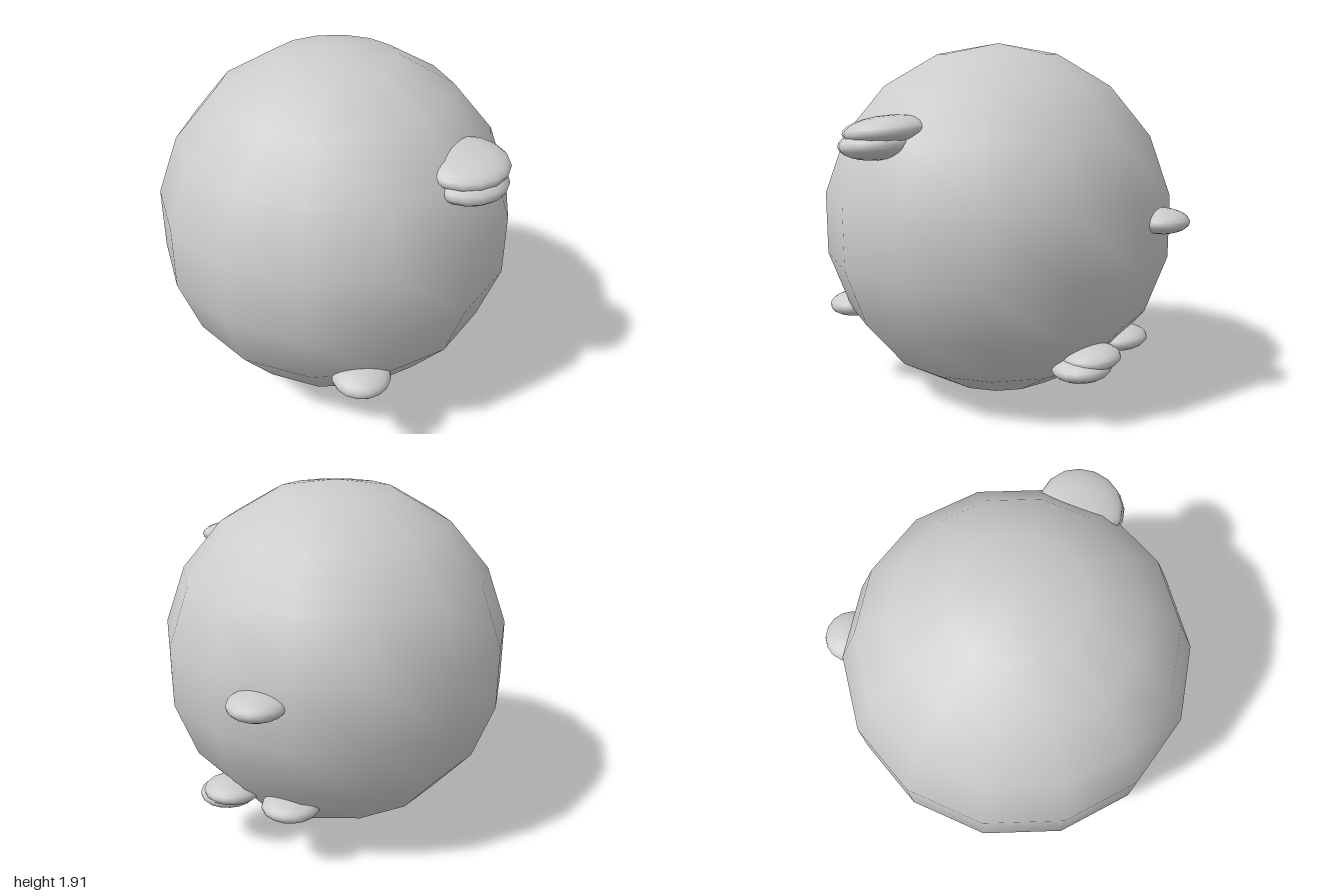
import * as THREE from 'three';

const grey = new THREE.MeshStandardMaterial({ color: 0xcccccc });

// Flattened ball centred at (x, y, z), tilted about the x axis
function pebble(name, [x, y, z], radius, halfHeight, tilt = 0) {
  const mesh = new THREE.Mesh(new THREE.SphereGeometry(1, 16, 12), grey);
  mesh.name = name;
  mesh.scale.set(radius, halfHeight, radius);
  mesh.position.set(x, y, z);
  mesh.rotation.x = tilt;
  return mesh;
}

export function createModel() {
  const group = new THREE.Group();
  group.name = 'ballWithPebbles';

  // Main ball: 14 sides and 9 bands, a corner towards the front
  const ball = new THREE.Mesh(new THREE.SphereGeometry(0.955, 14, 9), grey);
  ball.name = 'ball';
  ball.position.set(0, 0.955, 0.06);
  ball.rotation.y = Math.PI / 2;
  group.add(ball);

  // Stacked pair, upper left of the front
  group.add(pebble('upperPairTop', [0.67, 1.49, 0.42], 0.222, 0.073, 0.1));
  group.add(pebble('upperPairBottom', [0.69, 1.425, 0.46], 0.2, 0.079, 0.08));

  // Single pebbles on the front and back
  group.add(pebble('frontPebble', [0.245, 0.47, 0.825], 0.15, 0.068, 0.05));
  group.add(pebble('backPebble', [0.16, 1.015, -0.85], 0.15, 0.065));

  // Cluster low on the back
  const cluster = [
    [0.46, 0.297, -0.51],
    [0.42, 0.345, -0.55],
    [0.07, 0.345, -0.64],
  ];
  cluster.forEach((p, i) => group.add(pebble(`lowerPebble${i + 1}`, p, 0.153, 0.064, 0.08)));

  return group;
}
